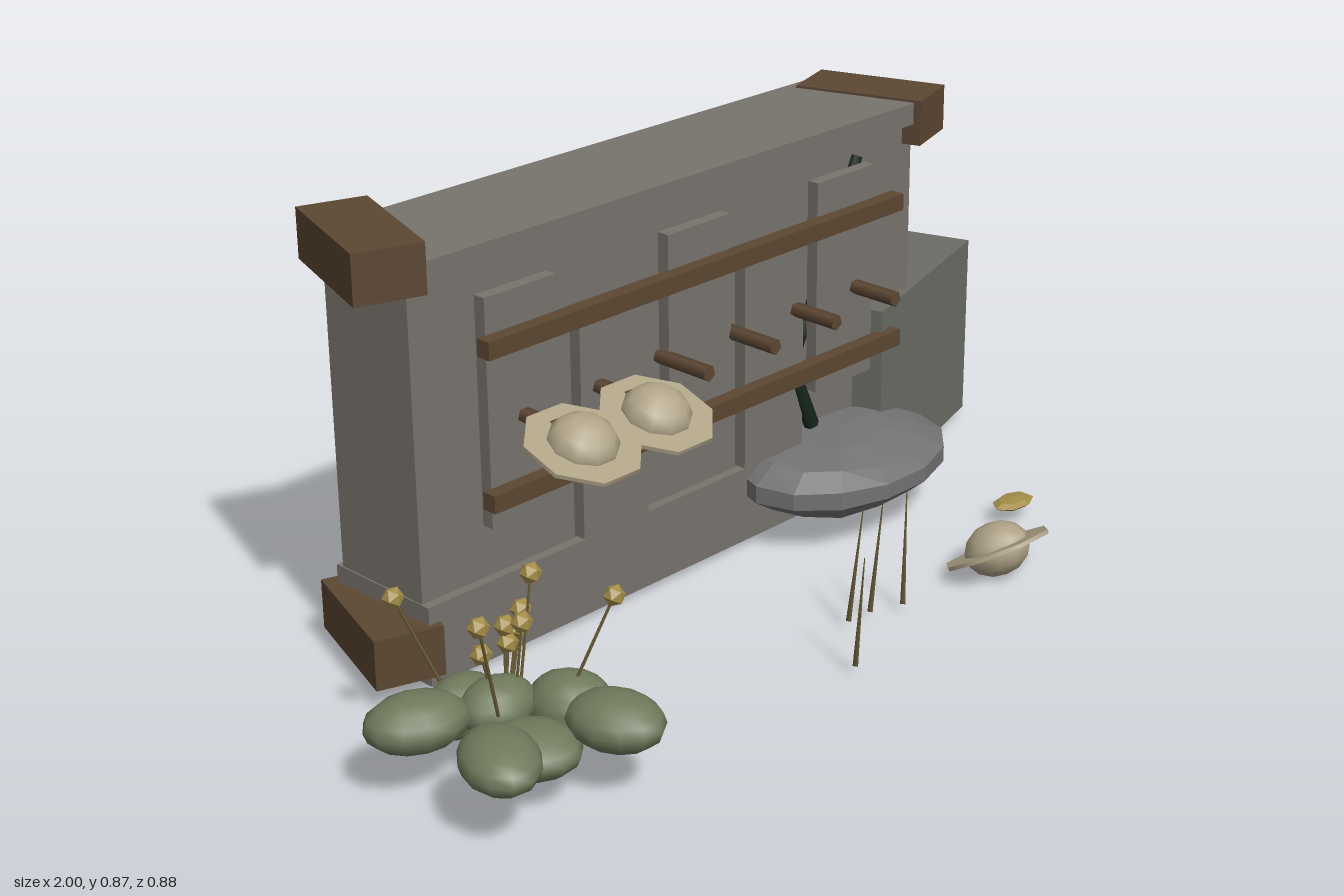
import * as THREE from 'three';

const mat = (name, color, extra = {}) => {
  const m = new THREE.MeshStandardMaterial({ color, ...extra });
  m.name = name;
  return m;
};

export function createModel() {
  const root = new THREE.Group();
  const stone = mat('wall stone', 0x77736d);
  const blockStone = mat('block stone', 0x6d6d66);
  const rockGrey = mat('rock grey', 0x727272, { flatShading: true });
  const wood = mat('brown wood', 0x5c4733);
  const leaf = mat('bush green', 0x6f7a5c);
  const straw = mat('straw', 0xb0a488);
  const yellow = mat('blossom yellow', 0xa38d48, { flatShading: true });
  const stemMat = mat('stem olive', 0x6a5f3a);
  const darkGreen = mat('dark green', 0x16261d);

  const add = (name, geo, material, parent = root) => {
    const m = new THREE.Mesh(geo, material);
    m.name = name;
    parent.add(m);
    return m;
  };
  // box given by its limits on each axis
  const box = (name, x0, x1, y0, y1, z0, z1, material) => {
    const m = add(name, new THREE.BoxGeometry(x1 - x0, y1 - y0, z1 - z0), material);
    m.position.set((x0 + x1) / 2, (y0 + y1) / 2, (z0 + z1) / 2);
    return m;
  };
  // tapered rod between two points
  const rod = (name, a, b, r0, r1, material, sides = 5) => {
    const p = new THREE.Vector3(...a), d = new THREE.Vector3(...b).sub(p);
    const m = add(name, new THREE.CylinderGeometry(r1, r0, d.length(), sides), material);
    m.position.copy(p).addScaledVector(d, 0.5);
    m.quaternion.setFromUnitVectors(new THREE.Vector3(0, 1, 0), d.normalize());
    return m;
  };

  // wall with footing and coping
  box('wall', -0.667, 0.683, 0.1, 0.8, -0.38, -0.155, stone);
  box('wallFooting', -0.67, 0.53, 0.02, 0.18, -0.395, -0.135, stone);
  box('wallCoping', -0.64, 0.66, 0.79, 0.835, -0.405, -0.13, stone);

  // staggered wall boards
  [-0.45, -0.225, 0.005, 0.215, 0.425].forEach((x, i) => {
    const drop = i % 2 ? 0.1 : 0;
    box('wallBoard', x - 0.085, x + 0.085, 0.3 - drop, 0.745 - drop, -0.132, -0.106, stone);
  });

  // rails and pegs
  box('upperRail', -0.553, 0.57, 0.64, 0.675, -0.108, -0.077, wood);
  box('lowerRail', -0.553, 0.57, 0.345, 0.38, -0.108, -0.077, wood);
  for (const x of [-0.45, -0.265, -0.083, 0.1, 0.277, 0.456])
    rod('peg', [x, 0.498, -0.13], [x, 0.498, 0.003], 0.016, 0.016, wood);

  // turned wooden corner blocks
  const corner = (x, y0, y1, turn) => {
    const m = box('cornerBlock', x - 0.067, x + 0.067, y0, y1, -0.409, -0.131, wood);
    m.rotation.y = turn;
  };
  corner(-0.669, 0.78, 0.877, -0.33);
  corner(0.687, 0.745, 0.84, 0.32);
  corner(-0.669, 0.045, 0.145, -0.33);

  // low side block
  const side = box('sideBlock', 0.487, 0.979, 0.025, 0.425, -0.3765, -0.1615, blockStone);
  side.rotation.y = 0.307;

  // leaning cane behind the boards and its foot
  rod('cane', [0.31, 0.36, -0.143], [0.5, 0.757, -0.143], 0.012, 0.012, darkGreen, 6);
  rod('caneFoot', [0.325, 0.235, -0.102], [0.28, 0.36, -0.115], 0.016, 0.016, darkGreen, 6);

  // straw hats
  const hat = (x, y, z, tilt) => {
    const g = new THREE.Group();
    g.name = 'hat';
    g.position.set(x, y, z);
    g.rotation.x = tilt;
    const brim = add('hatBrim', new THREE.CylinderGeometry(0.113, 0.113, 0.008, 8), straw, g);
    brim.rotation.y = Math.PI / 8;
    const crown = add('hatCrown', new THREE.SphereGeometry(0.068, 10, 7), straw, g);
    crown.scale.y = 0.8;
    root.add(g);
  };
  hat(-0.445, 0.483, 0.04, 0.33);
  hat(-0.262, 0.483, 0.04, 0.33);
  hat(0.415, 0.062, 0.313, -0.525);

  // uneven rock against the wall
  const rockGeo = new THREE.SphereGeometry(1, 14, 7);
  const p = rockGeo.attributes.position;
  for (let i = 0; i < p.count; i++) {
    const x = p.getX(i), y = p.getY(i), z = p.getZ(i);
    const wobble = 1 + 0.1 * Math.sin(5 * x + 2 * z) * Math.cos(4 * z - x);
    p.setXYZ(i, x, y * wobble - 0.1 * x * y - 0.25 * z * Math.abs(y), z);
  }
  rockGeo.computeVertexNormals();
  const rock = add('rock', rockGeo, rockGrey);
  rock.scale.set(0.265, 0.073, 0.188);
  rock.position.set(0.415, 0.135, -0.1);

  // fallen leaf
  const fallen = add('fallenLeaf', new THREE.SphereGeometry(1, 7, 4), yellow);
  fallen.scale.set(0.055, 0.011, 0.034);
  fallen.position.set(0.64, 0.045, 0.18);

  // bush: centre, radii, turn
  [
    [-0.907, 0.145, 0.11, 0.095, 0.05, 0.07, -0.35],
    [-0.79, 0.12, 0.09, 0.08, 0.055, 0.06, 0.2],
    [-0.9, 0.15, 0.31, 0.07, 0.045, 0.1, -0.5],
    [-0.79, 0.105, 0.265, 0.08, 0.045, 0.09, 0.4],
    [-0.77, 0.14, 0.16, 0.075, 0.05, 0.06, 0],
    [-0.67, 0.13, 0.235, 0.07, 0.06, 0.08, 0.3],
    [-0.675, 0.145, 0.35, 0.072, 0.05, 0.092, 0.25],
  ].forEach(([x, y, z, rx, ry, rz, turn]) => {
    const m = add('bushClump', new THREE.SphereGeometry(1, 12, 8), leaf);
    m.position.set(x, y, z);
    m.scale.set(rx, ry, rz);
    m.rotation.y = turn;
  });

  // blossoms on stems
  [
    [-0.865, 0.35, 0.23], [-0.855, 0.32, 0], [-0.685, 0.36, 0.16], [-0.61, 0.333, 0.285],
    [-0.715, 0.28, 0.167], [-0.73, 0.27, 0.14], [-0.67, 0.27, 0.115], [-0.725, 0.235, 0.14],
    [-0.68, 0.237, 0.113], [-0.785, 0.235, 0.14],
  ].forEach(([x, y, z]) => {
    const foot = [x + (-0.75 - x) * 0.55, 0.13, z + (0.16 - z) * 0.4];
    rod('flowerStem', foot, [x, y, z], 0.004, 0.003, stemMat, 4);
    const b = add('blossom', new THREE.IcosahedronGeometry(0.02, 0), yellow);
    b.position.set(x, y, z);
  });

  // grass blades
  [
    [-0.085, 0.375, -0.095, 0.4], [0.04, 0.25, 0.058, 0.265],
    [0.097, 0.255, 0.12, 0.262], [0.165, 0.28, 0.18, 0.27],
  ].forEach(([x0, z0, x1, z1]) =>
    rod('grassBlade', [x0, 0.022, z0], [x1, 0.255, z1], 0.006, 0.001, stemMat, 3));

  return root;
}
